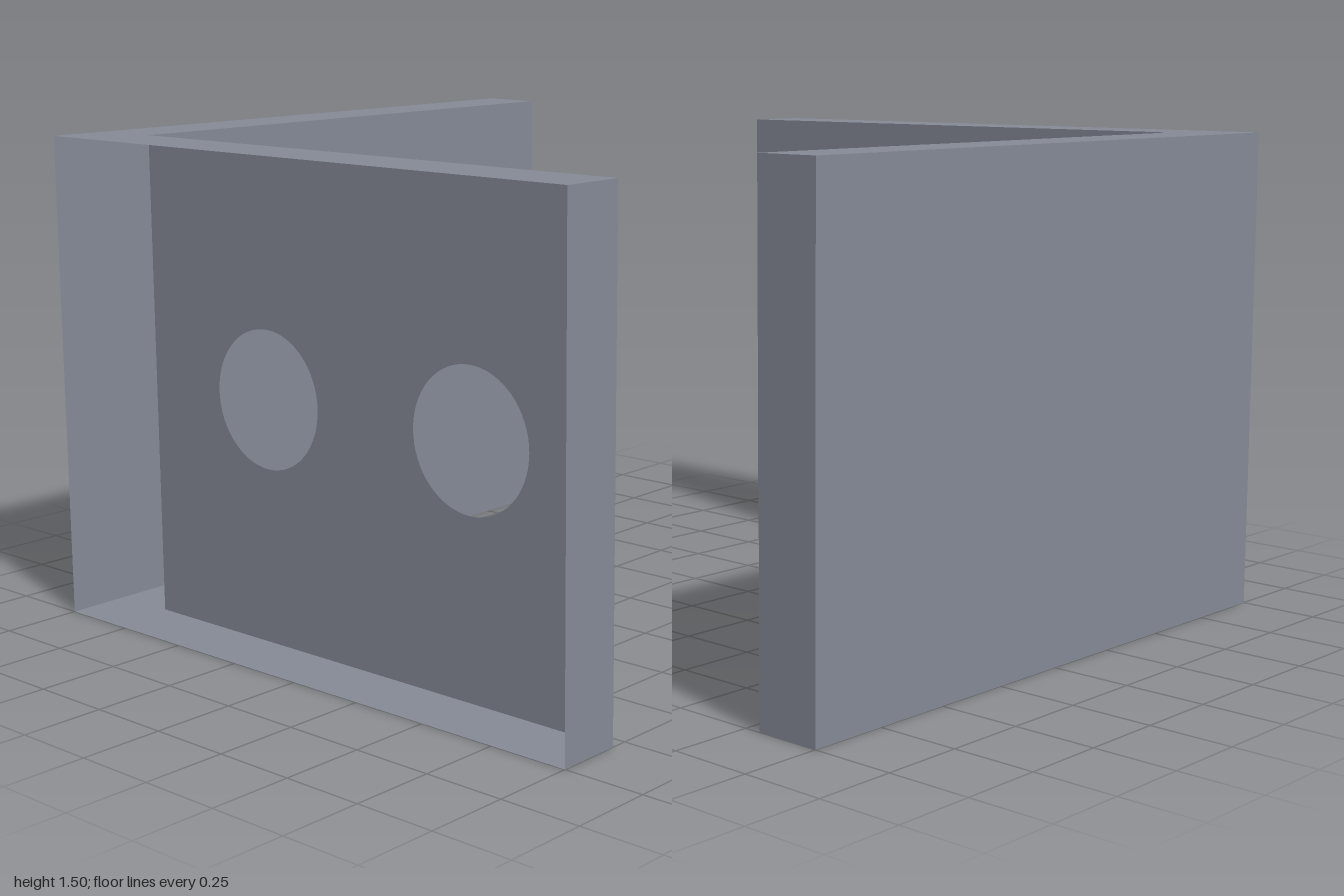
import * as THREE from 'three';

const HEIGHT = 1.5;

export function createModel() {
  const group = new THREE.Group();
  group.name = 'cornerBracket';
  const steel = new THREE.MeshStandardMaterial({ color: 0x858a96, side: THREE.DoubleSide });
  steel.name = 'steelGrey';

  const add = (name, geometry) => {
    const mesh = new THREE.Mesh(geometry, steel);
    mesh.name = name;
    group.add(mesh);
    return mesh;
  };

  // L-shaped plan as [x, z]; the front side, from last to first point, stays open
  const plan = [[1, 1], [1, 0.8], [-0.8, 0.8], [-0.8, -1], [-1, -1], [-1, 1]];

  // Upright sheet between two plan points, facing outward, with optional round holes
  const addWall = (name, [ax, az], [bx, bz], holes = []) => {
    const width = Math.hypot(bx - ax, bz - az);
    const shape = new THREE.Shape([
      new THREE.Vector2(0, 0), new THREE.Vector2(width, 0),
      new THREE.Vector2(width, HEIGHT), new THREE.Vector2(0, HEIGHT),
    ]);
    for (const along of holes) {
      shape.holes.push(new THREE.Path().absarc(along, HEIGHT / 2, 0.211, 0, Math.PI * 2, true));
    }
    const wall = add(name, new THREE.ShapeGeometry(shape, 32));
    wall.position.set(ax, 0, az);
    wall.rotation.y = Math.atan2(az - bz, bx - ax);
  };

  // Walls of the hollow shell
  const names = ['frontArmEnd', 'drilledPanel', 'innerSidePanel', 'sideArmEnd', 'outerSidePanel'];
  names.forEach((name, i) => {
    addWall(name, plan[i], plan[i + 1], name === 'drilledPanel' ? [0.5, 1.3] : []);
  });

  // Top and bottom sheets
  for (const [name, y, sign] of [['topSheet', HEIGHT, -1], ['bottomSheet', 0, 1]]) {
    const shape = new THREE.Shape(plan.map(([x, z]) => new THREE.Vector2(x, z * sign)));
    const sheet = add(name, new THREE.ShapeGeometry(shape));
    sheet.rotation.x = sign * Math.PI / 2;
    sheet.position.y = y;
  }

  return group;
}
